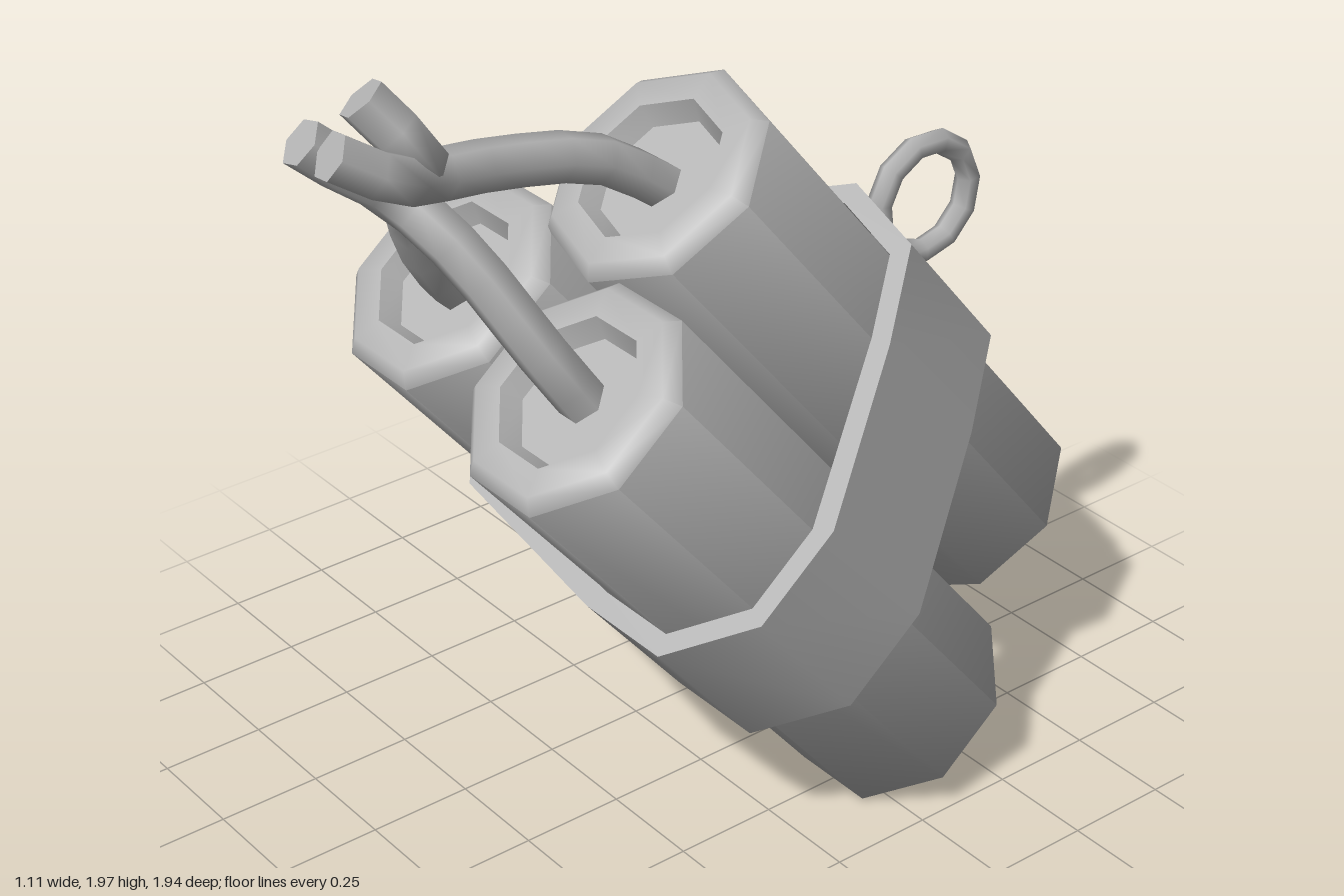
import * as THREE from 'three';
import { toCreasedNormals } from 'three/addons/utils/BufferGeometryUtils.js';

const rad = THREE.MathUtils.degToRad;
const V = (x, y, z) => new THREE.Vector3(x, y, z);

// Stick centres in the bundle cross-section (x, v) and the turn of each octagon
const sticks = {
  right: { x: 0.255, v: -0.035, turn: 22.5 },
  left: { x: -0.258, v: 0.035, turn: 22.5 },
  back: { x: 0.045, v: 0.45, turn: 7.5 },
};

// Corners of the strap that wraps the three octagons: [stick, corner angle]
const strapCorners = [
  ['right', -67.5], ['right', -22.5], ['right', 22.5],
  ['back', 7.5], ['back', 52.5], ['back', 97.5], ['back', 142.5],
  ['left', 157.5], ['left', 202.5], ['left', 247.5], ['right', 247.5],
];

function strapOutline(radius) {
  return strapCorners.map(([name, a]) => new THREE.Vector2(
    sticks[name].x + radius * Math.cos(rad(a)),
    sticks[name].v + radius * Math.sin(rad(a))));
}

export function createModel() {
  const model = new THREE.Group();
  model.name = 'stickBundle';
  const grey = new THREE.MeshStandardMaterial({ color: 0xb4b4b4 });
  grey.name = 'grey';

  const add = (parent, name, geometry) => {
    const mesh = new THREE.Mesh(geometry, grey);
    mesh.name = name;
    parent.add(mesh);
    return mesh;
  };

  // Tilted bundle: local y runs along the sticks
  const bundle = new THREE.Group();
  bundle.name = 'bundle';
  bundle.rotation.x = rad(39.3);
  bundle.position.set(0, 0.77, 0.045);
  model.add(bundle);

  // Eight-sided sticks with bevelled rims and recessed ends
  const half = 0.75;
  const end = [[0.27, half - 0.03], [0.24, half], [0.175, half], [0.15, half - 0.05], [0, half - 0.05]];
  const profile = [
    ...end.slice().reverse().map(([r, y]) => new THREE.Vector2(r, -y)),
    ...end.map(([r, y]) => new THREE.Vector2(r, y)),
  ];
  for (const [name, s] of Object.entries(sticks)) {
    const geometry = toCreasedNormals(new THREE.LatheGeometry(profile, 8, rad(s.turn)), rad(48));
    add(bundle, name + 'Stick', geometry).position.set(s.x, 0, -s.v);
  }

  // Strap around the sticks
  const shape = new THREE.Shape(strapOutline(0.325));
  shape.holes.push(new THREE.Path(strapOutline(0.272)));
  const strap = new THREE.ExtrudeGeometry(shape, { depth: 0.4, bevelEnabled: false });
  strap.rotateX(-Math.PI / 2);
  add(bundle, 'strap', toCreasedNormals(strap, rad(48))).position.y = -0.22;

  // Hanging ring on the back of the strap
  const ring = add(bundle, 'ring', new THREE.TorusGeometry(0.135, 0.03, 6, 11));
  ring.rotation.y = Math.PI / 2;
  ring.position.set(0.015, -0.01, -0.865);

  // Fuses that twist together in front of the bundle
  const fuses = {
    left: [V(-0.255, 1.31, 0.45), V(-0.22, 1.44, 0.55), V(-0.15, 1.62, 0.64),
      V(-0.03, 1.76, 0.70), V(0.05, 1.83, 0.74), V(-0.01, 1.96, 0.83)],
    right: [V(0.26, 1.25, 0.48), V(0.22, 1.41, 0.58), V(0.09, 1.63, 0.69),
      V(-0.02, 1.74, 0.77), V(-0.04, 1.81, 0.86), V(-0.06, 1.88, 0.94)],
    back: [V(0.045, 1.57, 0.12), V(0.03, 1.69, 0.30), V(0.02, 1.75, 0.57),
      V(0.04, 1.78, 0.74), V(0.07, 1.82, 0.83), V(0.045, 1.89, 0.94)],
  };
  const sides = 6, steps = 9;
  for (const [name, points] of Object.entries(fuses)) {
    const tube = new THREE.TubeGeometry(new THREE.CatmullRomCurve3(points), steps, 0.055, sides);
    add(model, name + 'Fuse', tube);
    // Flat cut end
    const p = tube.attributes.position;
    const ringPoints = Array.from({ length: sides }, (_, i) =>
      new THREE.Vector3().fromBufferAttribute(p, steps * (sides + 1) + i));
    const tip = points[points.length - 1];
    const dir = tip.clone().sub(points[points.length - 2]);
    const corners = [];
    for (let i = 0; i < sides; i++) {
      let a = ringPoints[i], b = ringPoints[(i + 1) % sides];
      const n = a.clone().sub(tip).cross(b.clone().sub(tip));
      if (n.dot(dir) < 0) [a, b] = [b, a];
      corners.push(tip, a, b);
    }
    const cap = new THREE.BufferGeometry().setFromPoints(corners);
    cap.computeVertexNormals();
    add(model, name + 'FuseEnd', cap);
  }
  return model;
}
